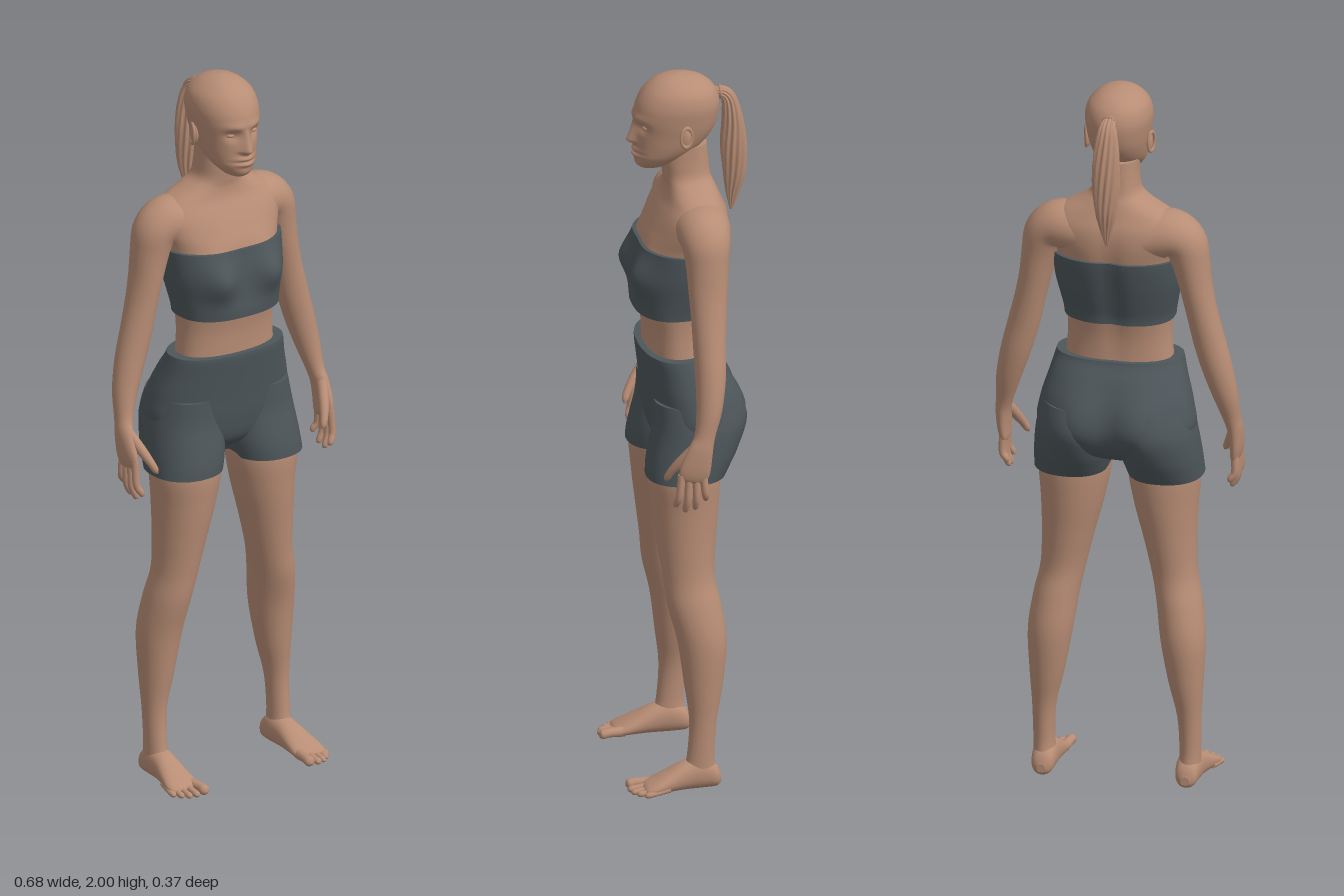
import * as THREE from 'three';

const skin = new THREE.MeshStandardMaterial({ color: 0xb88d75 });
skin.name = 'skin';
const cloth = new THREE.MeshStandardMaterial({ color: 0x4d565a, side: THREE.DoubleSide });
cloth.name = 'slate cloth';

const UP = new THREE.Vector3(0, 1, 0);
const FORWARD = new THREE.Vector3(0, 0, 1);
const RIGHT = new THREE.Vector3(1, 0, 0);
const bell = (d, s) => Math.exp(-(d * d) / (2 * s * s));

// Smoothly interpolated rows of numbers
function resample(rows, steps) {
  const out = [];
  const last = rows.length - 1;
  for (let i = 0; i < last; i++) {
    const a = rows[Math.max(i - 1, 0)], b = rows[i], c = rows[i + 1], d = rows[Math.min(i + 2, last)];
    for (let k = 0; k < steps; k++) {
      const t = k / steps;
      out.push(b.map((v, j) => v + 0.5 * t * (c[j] - a[j]
        + t * (2 * a[j] - 5 * v + 4 * c[j] - d[j] + t * (3 * (v - c[j]) + d[j] - a[j])))));
    }
  }
  out.push(rows[last]);
  return out;
}

// Rings along rows of [x, y, z, radius across, radius along ref]; dir fixes the ring normal
function loft(rows, { dir = null, ref = FORWARD, n = 2, segs = 32, steps = 5, shape = null } = {}) {
  const path = resample(rows, steps);
  const at = (i) => new THREE.Vector3(...path[Math.min(Math.max(i, 0), path.length - 1)].slice(0, 3));
  const pos = [], idx = [];
  const soft = (v) => Math.sign(v) * Math.abs(v) ** (2 / n);
  path.forEach((r, i) => {
    const c = at(i);
    const t = dir ? dir.clone() : at(i + 1).sub(at(i - 1)).normalize();
    const v = ref.clone().addScaledVector(t, -ref.dot(t)).normalize();
    const u = v.clone().cross(t);
    for (let j = 0; j < segs; j++) {
      const th = (j / segs) * Math.PI * 2;
      const p = c.clone().addScaledVector(u, soft(Math.cos(th)) * Math.max(r[3], 0.001))
        .addScaledVector(v, soft(Math.sin(th)) * Math.max(r[4], 0.001));
      if (shape) shape(p, c, th);
      pos.push(p.x, p.y, p.z);
    }
  });
  for (let i = 0; i < path.length - 1; i++) {
    for (let j = 0; j < segs; j++) {
      const a = i * segs + j, b = i * segs + (j + 1) % segs;
      idx.push(a, b, a + segs, b, b + segs, a + segs);
    }
  }
  // End caps with their own vertices
  for (const end of [0, path.length - 1]) {
    const base = pos.length / 3;
    pos.push(...pos.slice(end * segs * 3, (end + 1) * segs * 3), ...at(end).toArray());
    for (let j = 0; j < segs; j++) {
      const a = base + j, b = base + (j + 1) % segs;
      if (end) idx.push(a, b, base + segs); else idx.push(b, a, base + segs);
    }
  }
  const geo = new THREE.BufferGeometry();
  geo.setAttribute('position', new THREE.Float32BufferAttribute(pos, 3));
  geo.setIndex(idx);
  geo.computeVertexNormals();
  return geo;
}

// Level sections given as [y, x from, x to, z back, z front]
const level = (rows) => rows.map(([y, x0, x1, z0, z1]) => [(x0 + x1) / 2, y, (z0 + z1) / 2, Math.abs(x1 - x0) / 2, (z1 - z0) / 2]);
const centred = (rows) => level(rows.map(([y, w, z0, z1]) => [y, -w, w, z0, z1]));
const flip = (rows, s) => rows.map(([x, ...rest]) => [x * s, ...rest]);

function spineAndBust(p) {
  if (p.z < -0.02) p.z += 0.012 * bell(p.x, 0.02) * bell(p.y - 1.45, 0.14);
  else if (p.z > 0.02) p.z += 0.038 * bell(Math.abs(p.x) - 0.085, 0.036) * bell(p.y - 1.45, 0.04);
}

function buttocks(p) {
  if (p.z < -0.02) p.z -= 0.032 * bell(Math.abs(p.x) - 0.09, 0.055) * bell(p.y - 1.05, 0.075);
}

function face(p) {
  if (p.z < 0.04) return;
  const ax = Math.abs(p.x), { y } = p;
  const nose = y > 1.817 ? Math.max(0, 1 - (y - 1.817) / 0.062) : bell(y - 1.817, 0.007);
  p.z += 0.024 * nose * bell(p.x, 0.006 + 0.006 * nose)                // nose
    - 0.012 * bell(ax - 0.035, 0.014) * bell(y - 1.862, 0.011)         // eye sockets
    + 0.005 * bell(ax - 0.03, 0.022) * bell(y - 1.886, 0.008)          // brows
    + 0.008 * bell(p.x, 0.018) * (bell(y - 1.792, 0.005) + bell(y - 1.777, 0.005)) // lips
    - 0.004 * bell(p.x, 0.025) * bell(y - 1.7845, 0.003)
    + 0.004 * bell(p.x, 0.02) * bell(y - 1.752, 0.01);                 // chin
}

export function createModel() {
  const model = new THREE.Group();
  const add = (name, geo, mat = skin) => {
    const m = new THREE.Mesh(geo, mat);
    m.name = name;
    model.add(m);
    return m;
  };

  // Trunk and neck
  add('torso', loft(centred([
    [1.18, 0.15, -0.06, 0.1], [1.28, 0.142, -0.06, 0.103], [1.36, 0.146, -0.075, 0.115],
    [1.45, 0.16, -0.1, 0.115], [1.53, 0.168, -0.117, 0.108], [1.58, 0.185, -0.121, 0.088],
    [1.62, 0.188, -0.116, 0.068], [1.655, 0.155, -0.102, 0.05], [1.685, 0.1, -0.09, 0.045],
    [1.71, 0.068, -0.08, 0.048], [1.75, 0.06, -0.075, 0.052], [1.8, 0.058, -0.07, 0.05],
  ]), { dir: UP, n: 2.3, segs: 56, shape: spineAndBust }));

  add('bandeau top', loft(centred([
    [1.337, 0.15, -0.083, 0.133], [1.36, 0.153, -0.086, 0.133], [1.4, 0.161, -0.097, 0.128],
    [1.45, 0.171, -0.11, 0.123], [1.5, 0.175, -0.121, 0.12], [1.528, 0.176, -0.125, 0.118],
  ]), { dir: UP, n: 2.4, segs: 72, shape: spineAndBust }), cloth);

  // Head
  add('head', loft(centred([
    [1.735, 0.018, 0.06, 0.105], [1.745, 0.036, 0.03, 0.118], [1.77, 0.058, -0.01, 0.126],
    [1.8, 0.071, -0.055, 0.126], [1.84, 0.08, -0.087, 0.126], [1.88, 0.087, -0.101, 0.129],
    [1.92, 0.09, -0.104, 0.122], [1.955, 0.081, -0.092, 0.103], [1.98, 0.058, -0.066, 0.077],
    [1.994, 0.032, -0.032, 0.047], [2, 0.004, 0.003, 0.012],
  ]), { dir: UP, n: 2.1, segs: 120, steps: 10, shape: face }));

  // Ponytail with ridged strands
  add('ponytail', loft([
    [0, 1.92, -0.08, 0.013, 0.014], [0, 1.936, -0.105, 0.014, 0.016], [0, 1.918, -0.13, 0.018, 0.024],
    [0, 1.86, -0.141, 0.026, 0.033], [0, 1.78, -0.145, 0.033, 0.035], [0, 1.7, -0.147, 0.029, 0.028],
    [0, 1.64, -0.142, 0.017, 0.016], [0, 1.59, -0.138, 0.003, 0.003],
  ], { ref: RIGHT, segs: 72, steps: 6, shape: (p, c, th) => p.sub(c).multiplyScalar(1 + 0.1 * Math.cos(12 * th + c.y * 30)).add(c) }));
  const band = add('hair band', new THREE.TorusGeometry(0.016, 0.004, 8, 24));
  band.position.set(0, 1.935, -0.107);

  // Hips of the shorts
  add('shorts hips', loft(centred([
    [0.935, 0.06, -0.05, 0.05], [0.97, 0.15, -0.105, 0.082], [1.03, 0.213, -0.133, 0.096],
    [1.1, 0.208, -0.128, 0.104], [1.17, 0.188, -0.1, 0.113], [1.21, 0.177, -0.076, 0.118], [1.225, 0.173, -0.07, 0.118],
  ]), { dir: UP, n: 2.3, segs: 72, shape: buttocks }), cloth);

  for (const s of [1, -1]) {
    const side = s > 0 ? 'left' : 'right';
    const limb = (name, rows, opts, mat) => add(`${side} ${name}`, loft(flip(rows, s), opts), mat);

    limb('shorts leg', level([
      [0.89, 0.028, 0.231, -0.09, 0.122], [0.92, 0.02, 0.229, -0.105, 0.12], [0.96, 0.012, 0.226, -0.12, 0.113],
      [1.03, 0.01, 0.217, -0.13, 0.098], [1.1, 0.02, 0.2, -0.115, 0.095],
    ]), { dir: UP, n: 2.25, segs: 48, shape: buttocks }, cloth);

    limb('leg', level([
      [0.05, 0.168, 0.23, -0.056, 0.035], [0.1, 0.172, 0.23, -0.05, 0.024], [0.2, 0.167, 0.232, -0.057, 0.018],
      [0.3, 0.144, 0.238, -0.075, 0.03], [0.42, 0.122, 0.243, -0.087, 0.046], [0.52, 0.108, 0.231, -0.075, 0.07],
      [0.6, 0.092, 0.215, -0.06, 0.08], [0.7, 0.068, 0.212, -0.066, 0.094], [0.8, 0.042, 0.215, -0.076, 0.107],
      [0.9, 0.024, 0.221, -0.08, 0.113], [1, 0.03, 0.2, -0.07, 0.085],
    ]), { dir: UP, segs: 40 });

    limb('foot', [
      [0.198, 0.026, -0.068, 0.012, 0.012], [0.198, 0.035, -0.055, 0.028, 0.031], [0.198, 0.046, -0.02, 0.034, 0.044],
      [0.2, 0.042, 0.03, 0.036, 0.04], [0.204, 0.03, 0.08, 0.043, 0.028], [0.207, 0.021, 0.115, 0.047, 0.019],
      [0.207, 0.016, 0.138, 0.042, 0.012], [0.207, 0.014, 0.146, 0.03, 0.006],
    ], { dir: FORWARD, ref: UP, n: 2.2 });

    // Toes: start x, tip x, tip z, radius
    [[0.177, 0.172, 0.187, 0.015], [0.197, 0.198, 0.187, 0.01], [0.213, 0.218, 0.181, 0.009],
      [0.227, 0.235, 0.168, 0.009], [0.239, 0.249, 0.15, 0.009]].forEach(([x0, x1, z, r], i) => {
      limb(`toe ${i + 1}`, [
        [x0, 0.018, z - 0.07, r, r], [x1, r + 0.004, z - 0.028, r * 0.9, r * 0.85], [x1, r + 0.001, z - 0.01, r, r * 0.9],
        [x1, r, z - 0.003, r * 0.65, r * 0.6], [x1, r, z, r * 0.1, r * 0.1],
      ], { ref: UP, segs: 14, steps: 3 });
    });

    // Shoulder, arm and palm in one sweep
    limb('arm', [
      [0.09, 1.59, -0.03, 0.068, 0.082], [0.15, 1.597, -0.03, 0.068, 0.075], [0.19, 1.575, -0.03, 0.06, 0.066],
      [0.207, 1.52, -0.03, 0.051, 0.058], [0.221, 1.45, -0.029, 0.044, 0.053], [0.236, 1.38, -0.028, 0.042, 0.048],
      [0.255, 1.3, -0.026, 0.043, 0.044], [0.277, 1.22, -0.024, 0.041, 0.041], [0.298, 1.14, -0.016, 0.034, 0.035],
      [0.312, 1.07, -0.001, 0.024, 0.028], [0.319, 1.03, 0.012, 0.021, 0.034], [0.32, 0.98, 0.026, 0.018, 0.042],
      [0.317, 0.95, 0.032, 0.014, 0.04], [0.315, 0.938, 0.034, 0.006, 0.03],
    ], { segs: 36 });

    // Fingers: knuckle z, tip z, tip y
    [[0.063, 0.077, 0.868], [0.043, 0.051, 0.852], [0.023, 0.024, 0.857], [0.004, -0.004, 0.88]].forEach(([z0, z1, y], i) => {
      limb(`finger ${i + 1}`, [
        [0.318, 0.965, z0, 0.011, 0.011], [0.32, (0.94 + y) / 2, (z0 + z1) / 2, 0.01, 0.01],
        [0.31, y + 0.012, z1, 0.009, 0.009], [0.306, y + 0.003, z1, 0.006, 0.006], [0.305, y, z1, 0.001, 0.001],
      ], { segs: 14, steps: 4 });
    });
    limb('thumb', [
      [0.316, 1.04, 0.025, 0.014, 0.016], [0.298, 0.995, 0.062, 0.014, 0.014], [0.283, 0.962, 0.085, 0.011, 0.011],
      [0.274, 0.942, 0.094, 0.009, 0.009], [0.269, 0.932, 0.097, 0.002, 0.002],
    ], { segs: 16, steps: 4 });

    // Ear: flat shell with a raised rim
    const shell = add(`${side} ear`, new THREE.SphereGeometry(1, 20, 14));
    shell.scale.set(0.008, 0.028, 0.016);
    shell.position.set(s * 0.085, 1.843, 0.004);
    const rim = add(`${side} ear rim`, new THREE.TorusGeometry(0.017, 0.004, 8, 28));
    rim.scale.set(1, 1.6, 1);
    rim.rotation.y = s * (Math.PI / 2 + 0.3);
    rim.position.set(s * 0.09, 1.845, 0.002);

    // Closed-in eyeball
    const eye = add(`${side} eye`, new THREE.SphereGeometry(1, 20, 14));
    eye.scale.set(0.014, 0.007, 0.009);
    eye.position.set(s * 0.034, 1.861, 0.103);
  }
  return model;
}
